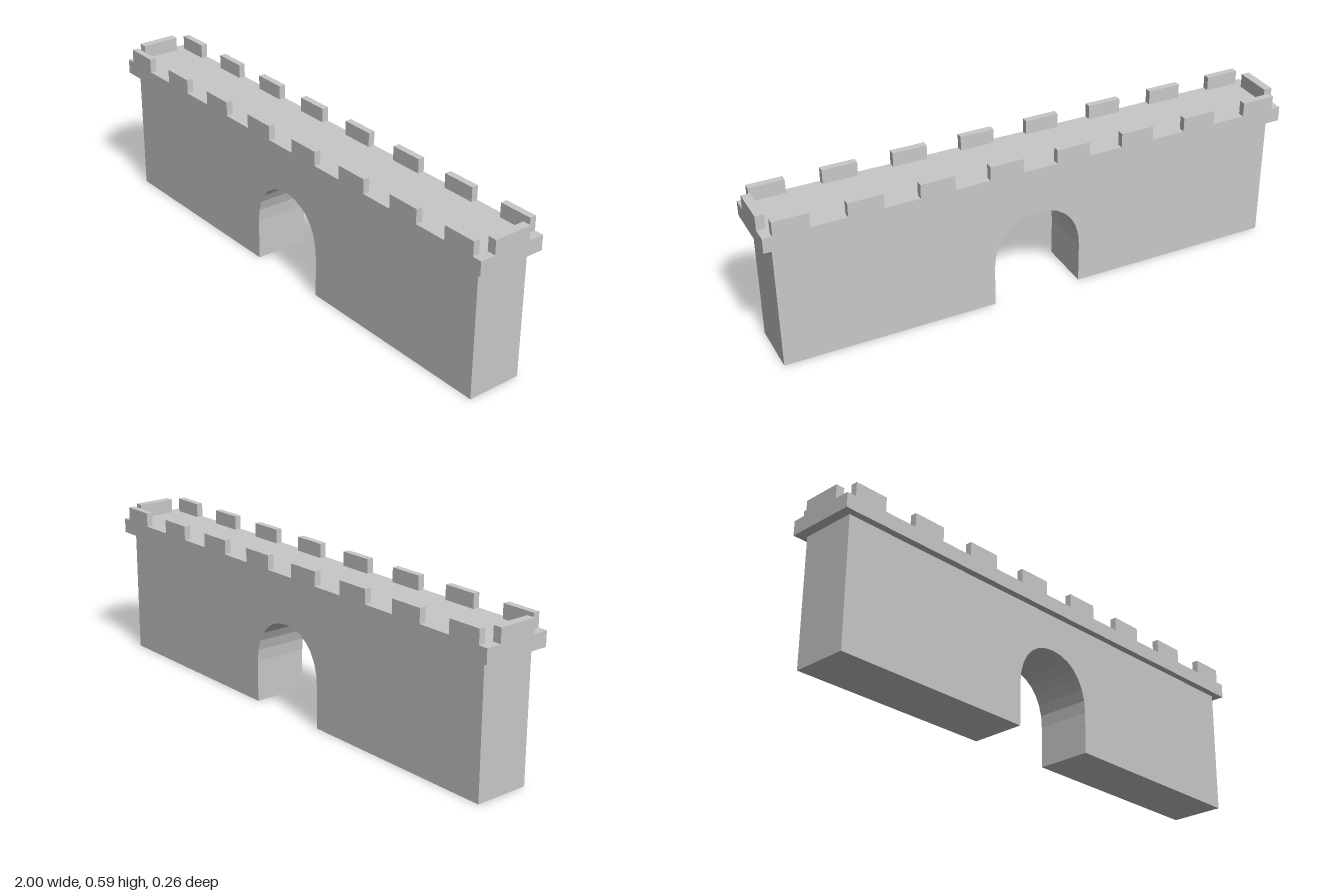
import * as THREE from 'three';

export function createModel() {
  const model = new THREE.Group();
  model.name = 'castleWall';
  const stone = new THREE.MeshStandardMaterial({ color: 0xc8c8c8 });
  stone.name = 'grey stone';

  const add = (name, geometry, x = 0, y = 0, z = 0) => {
    const mesh = new THREE.Mesh(geometry, stone);
    mesh.name = name;
    mesh.position.set(x, y, z);
    model.add(mesh);
  };

  const ledgeBottom = 0.48, ledgeTop = 0.535, merlonTop = 0.588;
  const wallX = 0.965, wallZ = 0.105, ledgeZ = 0.132;

  // Wall with a full-shouldered arched gateway through it
  const gateX = -0.003, gateR = 0.17, spring = 0.155, crown = 0.342;
  const bulgeX = gateR * 0.4, bulgeY = spring + (crown - spring) * 0.6;
  const outline = new THREE.Shape();
  outline.moveTo(-wallX, 0);
  outline.lineTo(gateX - gateR, 0);
  outline.lineTo(gateX - gateR, spring);
  outline.bezierCurveTo(gateX - gateR, bulgeY, gateX - gateR + bulgeX, crown, gateX, crown);
  outline.bezierCurveTo(gateX + gateR - bulgeX, crown, gateX + gateR, bulgeY, gateX + gateR, spring);
  outline.lineTo(gateX + gateR, 0);
  outline.lineTo(wallX, 0);
  outline.lineTo(wallX, ledgeBottom);
  outline.lineTo(-wallX, ledgeBottom);
  outline.closePath();
  const wall = new THREE.ExtrudeGeometry(outline, {
    depth: wallZ * 2, bevelEnabled: false, curveSegments: 7,
  });
  add('wall', wall, 0, 0, -wallZ);

  // Overhanging walkway
  const ledgeH = ledgeTop - ledgeBottom;
  add('walkway', new THREE.BoxGeometry(2, ledgeH, ledgeZ * 2), 0, ledgeBottom + ledgeH / 2);

  // Battlements along both long edges
  const merlonH = merlonTop - ledgeTop, thick = 0.025;
  const merlonY = ledgeTop + merlonH / 2;
  const sideMerlon = new THREE.BoxGeometry(0.128, merlonH, thick);
  for (const side of [1, -1]) {
    for (let i = 0; i < 8; i++) {
      add(side > 0 ? 'frontMerlon' : 'backMerlon', sideMerlon,
        (i - 3.5) * 0.2575, merlonY, side * (ledgeZ - thick / 2));
    }
  }

  // One wider battlement at each end
  const endThick = 0.032;
  const endMerlon = new THREE.BoxGeometry(endThick, merlonH, 0.148);
  for (const side of [1, -1]) {
    add(side > 0 ? 'leftEndMerlon' : 'rightEndMerlon', endMerlon, side * (1 - endThick / 2), merlonY, 0);
  }
  return model;
}
